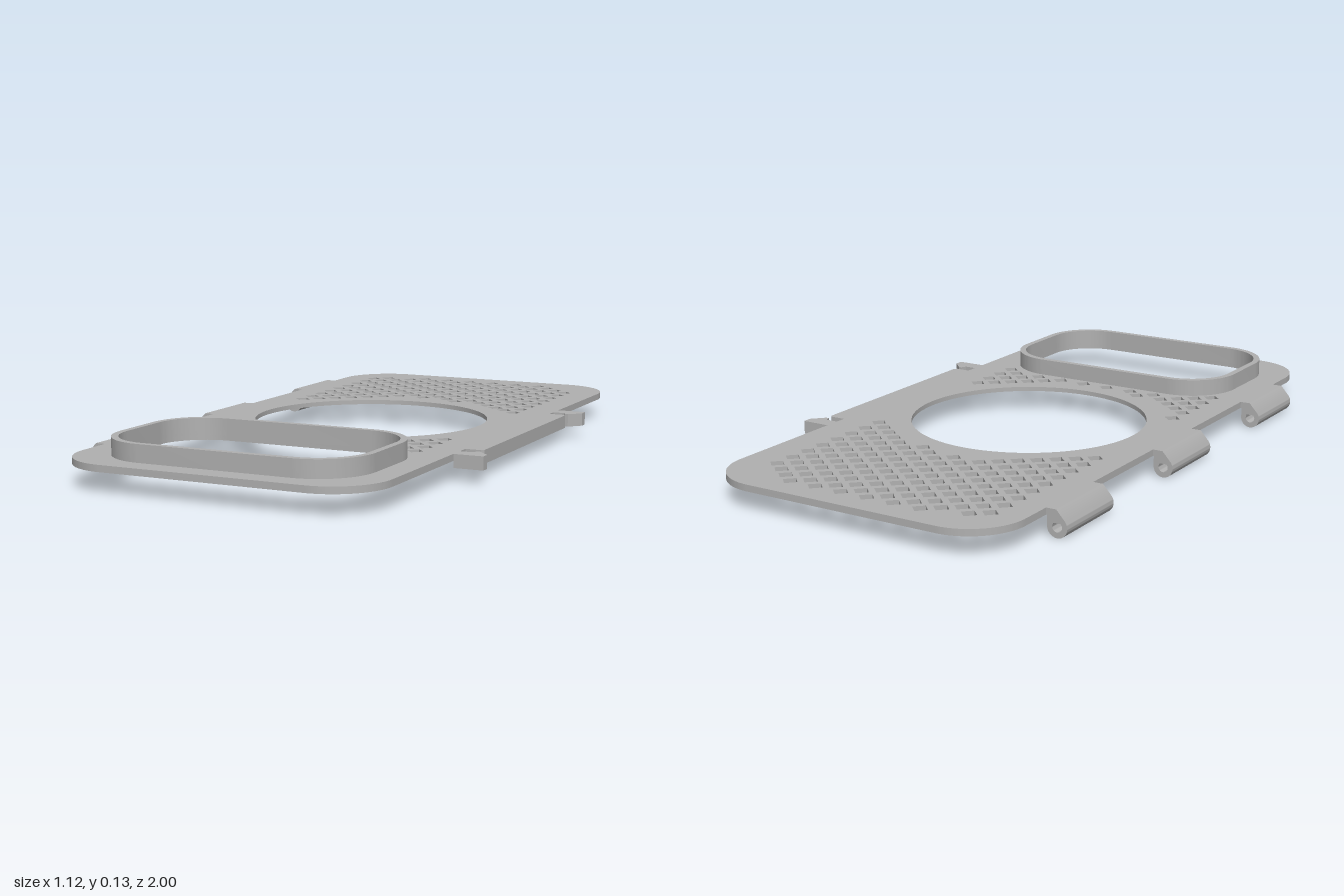
import * as THREE from 'three';
import { toCreasedNormals } from 'three/addons/utils/BufferGeometryUtils.js';

const grey = new THREE.MeshStandardMaterial({ color: 0xb0b0b0 });
grey.name = 'grey plastic';

// Rounded rectangle on the plan, in x and z (shape y = -z)
function roundedRect(x0, x1, z0, z1, r, Type = THREE.Shape) {
  const s = new Type();
  s.absarc(x1 - r, -z0 - r, r, 0, Math.PI / 2);
  s.absarc(x0 + r, -z0 - r, r, Math.PI / 2, Math.PI);
  s.absarc(x0 + r, -z1 + r, r, Math.PI, Math.PI * 1.5);
  s.absarc(x1 - r, -z1 + r, r, Math.PI * 1.5, Math.PI * 2);
  s.closePath();
  return s;
}

function polygon(points, Type = THREE.Shape) {
  return new Type(points.map(([x, z]) => new THREE.Vector2(x, -z)));
}

function mesh(name, geometry) {
  const m = new THREE.Mesh(toCreasedNormals(geometry, 0.5), grey);
  m.name = name;
  return m;
}

// Plan shape extruded upward from y0 to y1
function slab(name, shape, y0, y1) {
  const g = new THREE.ExtrudeGeometry(shape, { depth: y1 - y0, bevelEnabled: false, curveSegments: 16 });
  g.rotateX(-Math.PI / 2);
  g.translate(0, y0, 0);
  return mesh(name, g);
}

const windowHole = () => roundedRect(-0.39, 0.37, 0.455, 0.91, 0.145, THREE.Path);

function createPlate() {
  const shape = roundedRect(-0.495, 0.47, -1, 1, 0.17);
  const cx = -0.012, cz = -0.037;
  // Large round opening
  const circle = [];
  for (let i = 0; i < 72; i++) {
    const a = (i / 72) * Math.PI * 2;
    circle.push([cx + 0.365 * Math.cos(a), cz + 0.365 * Math.sin(a)]);
  }
  shape.holes.push(polygon(circle, THREE.Path), windowHole());

  // Staggered diamond vents, kept clear of the opening, window and corners
  const h = 0.026;
  for (let j = 0; j <= 40; j++) {
    for (let i = j % 2; i <= 17; i += 2) {
      const x = -0.392 + 0.0439 * i, z = -0.91 + 0.0345 * j;
      if (Math.hypot(x - cx, z - cz) < 0.431) continue;
      if (j === 0 && (i < 4 || i > 14)) continue;
      if (j === 1 && i > 15) continue;
      if (j > 38 && i > 1 && i < 17) continue;
      shape.holes.push(polygon([[x - h, z], [x, z - h], [x + h, z], [x, z + h]], THREE.Path));
    }
  }
  return slab('plate', shape, 0.066, 0.08);
}

// Hinge knuckle: round barrel with a teardrop bore, joined to the plate edge
function createHinge(z0) {
  const cx = -0.529, cy = 0.031, r = 0.031;
  const s = new THREE.Shape();
  s.moveTo(-0.49, 0.08);
  s.lineTo(-0.526, 0.08);
  s.lineTo(cx + r * Math.cos(2.5), cy + r * Math.sin(2.5));
  s.absarc(cx, cy, r, 2.5, Math.PI * 2);
  s.lineTo(-0.498, 0.06);
  s.lineTo(-0.49, 0.06);
  s.closePath();
  const bore = new THREE.Path();
  bore.moveTo(cx, cy + 0.021);
  bore.absarc(cx, cy, 0.015, Math.PI * 0.75, Math.PI * 2.25);
  bore.closePath();
  s.holes.push(bore);
  const g = new THREE.ExtrudeGeometry(s, { depth: 0.25, bevelEnabled: false, curveSegments: 20 });
  g.translate(0, 0, z0);
  return mesh('hinge', g);
}

// Hooked latch on the long edge; side = -1 or 1 along z
function createLatch(side) {
  const outline = [[0.47, 0.385], [0.508, 0.385], [0.515, 0.368], [0.525, 0.368],
    [0.56, 0.405], [0.56, 0.432], [0.47, 0.432]];
  return slab('latch', polygon(outline.map(([x, z]) => [x, z * side])), 0.04, 0.08);
}

export function createModel() {
  const model = new THREE.Group();
  model.name = 'hingedCover';
  model.add(createPlate());

  // Shallow lip around the underside
  const rim = roundedRect(-0.495, 0.47, -1, 1, 0.17);
  rim.holes.push(roundedRect(-0.47, 0.445, -0.975, 0.975, 0.145, THREE.Path));
  model.add(slab('undersideRim', rim, 0.06, 0.066));

  // Raised collar around the window
  const collar = roundedRect(-0.41, 0.39, 0.435, 0.93, 0.165);
  collar.holes.push(windowHole());
  model.add(slab('windowCollar', collar, 0.08, 0.132));

  // Side strip with small end corners
  const strip = polygon([[0.47, -0.35], [0.517, -0.35], [0.525, -0.342],
    [0.525, 0.337], [0.517, 0.345], [0.47, 0.345]]);
  model.add(slab('sideStrip', strip, 0.04, 0.08));

  for (const side of [-1, 1]) model.add(createLatch(side));
  for (const z of [-0.73, -0.128, 0.475]) model.add(createHinge(z));
  return model;
}
